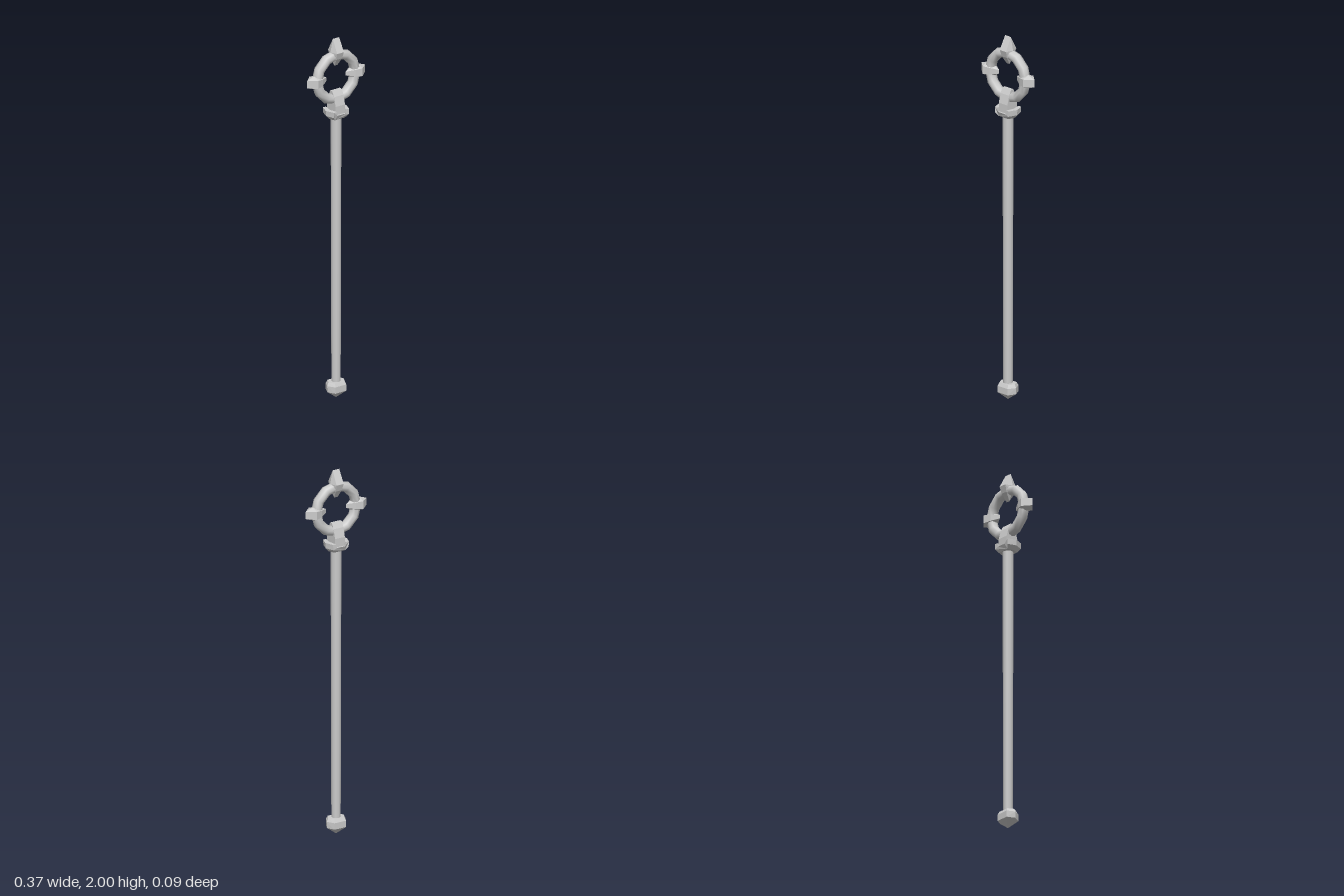
import * as THREE from 'three';
import { ConvexGeometry } from 'three/addons/geometries/ConvexGeometry.js';

const flat = new THREE.MeshStandardMaterial({ color: 0xcccccc, flatShading: true });
const smooth = new THREE.MeshStandardMaterial({ color: 0xcccccc });
const RING_Y = 1.786;

// Flattened hexagon at height y: points on +-x, flats towards +-z
function hexagon(y, w, d, flatHalf) {
  return [[w, 0], [flatHalf, d], [-flatHalf, d], [-w, 0], [-flatHalf, -d], [flatHalf, -d]]
    .map(([x, z]) => new THREE.Vector3(x, y, z));
}

// Straight edge along x at height y
const edge = (y, w) => [new THREE.Vector3(-w, y, 0), new THREE.Vector3(w, y, 0)];

// Wedge-shaped spike pointing along +y, measured from the ring centre
function spikeGeometry(tip) {
  return new ConvexGeometry([
    ...edge(tip, 0.02),
    ...hexagon(0.142, 0.036, 0.039, 0.022),
    ...hexagon(0.105, 0.033, 0.027, 0.018),
    ...edge(0.062, 0.01),
  ]);
}

// Front outline pushed through z, centred
function extrudeZ(points, depth, steps) {
  const shape = new THREE.Shape(points.map(([x, y]) => new THREE.Vector2(x, y)));
  const geo = new THREE.ExtrudeGeometry(shape, { depth, steps, bevelEnabled: false });
  return geo.translate(0, 0, -depth / 2);
}

export function createModel() {
  const group = new THREE.Group();
  const add = (name, geometry, material = flat) => {
    const mesh = new THREE.Mesh(geometry, material);
    mesh.name = name;
    group.add(mesh);
    return mesh;
  };

  // Slightly tapered shaft
  add('shaft', new THREE.CylinderGeometry(0.029, 0.025, 1.56, 10), smooth).position.y = 0.83;

  // Faceted pommel with a pointed underside
  add('pommel', new ConvexGeometry([
    ...hexagon(0.093, 0.048, 0.032, 0.03),
    ...hexagon(0.075, 0.057, 0.041, 0.035),
    ...hexagon(0.04, 0.055, 0.041, 0.035),
    new THREE.Vector3(0, 0, 0),
  ]));

  // Collar with raised sides, narrowing towards front, back and bottom
  const half = 0.047;
  const collar = extrudeZ([
    [-0.045, 1.56], [0.045, 1.56], [0.063, 1.58], [0.066, 1.61],
    [0.04, 1.61], [0.033, 1.588], [-0.033, 1.588], [-0.04, 1.61], [-0.066, 1.61], [-0.063, 1.58],
  ], half * 2, 2);
  const pos = collar.attributes.position;
  for (let i = 0; i < pos.count; i++) {
    const z = pos.getZ(i);
    pos.setX(i, pos.getX(i) * (1 - 0.26 * Math.abs(z) / half));
    if (pos.getY(i) < 1.57) pos.setZ(i, z * 0.7);
  }
  collar.computeVertexNormals();
  add('collar', collar);

  // Post with a ridged top that grips the ring
  const post = extrudeZ([
    [-0.037, 1.575], [0.037, 1.575], [0.037, 1.635], [0.024, 1.685],
    [0.008, 1.713], [-0.008, 1.713], [-0.024, 1.685], [-0.037, 1.635],
  ], 0.06, 1);
  add('post', post.rotateY(Math.PI / 2));

  // Head ring
  add('headRing', new THREE.TorusGeometry(0.123, 0.028, 8, 12), smooth).position.y = RING_Y;

  // Spikes at the top and both sides of the ring
  for (const [name, angle, tip] of [
    ['topSpike', 0, 2 - RING_Y],
    ['leftSpike', -Math.PI / 2, 0.186],
    ['rightSpike', Math.PI / 2, 0.186],
  ]) {
    const spike = add(name, spikeGeometry(tip));
    spike.position.y = RING_Y;
    spike.rotation.z = angle;
  }
  return group;
}
